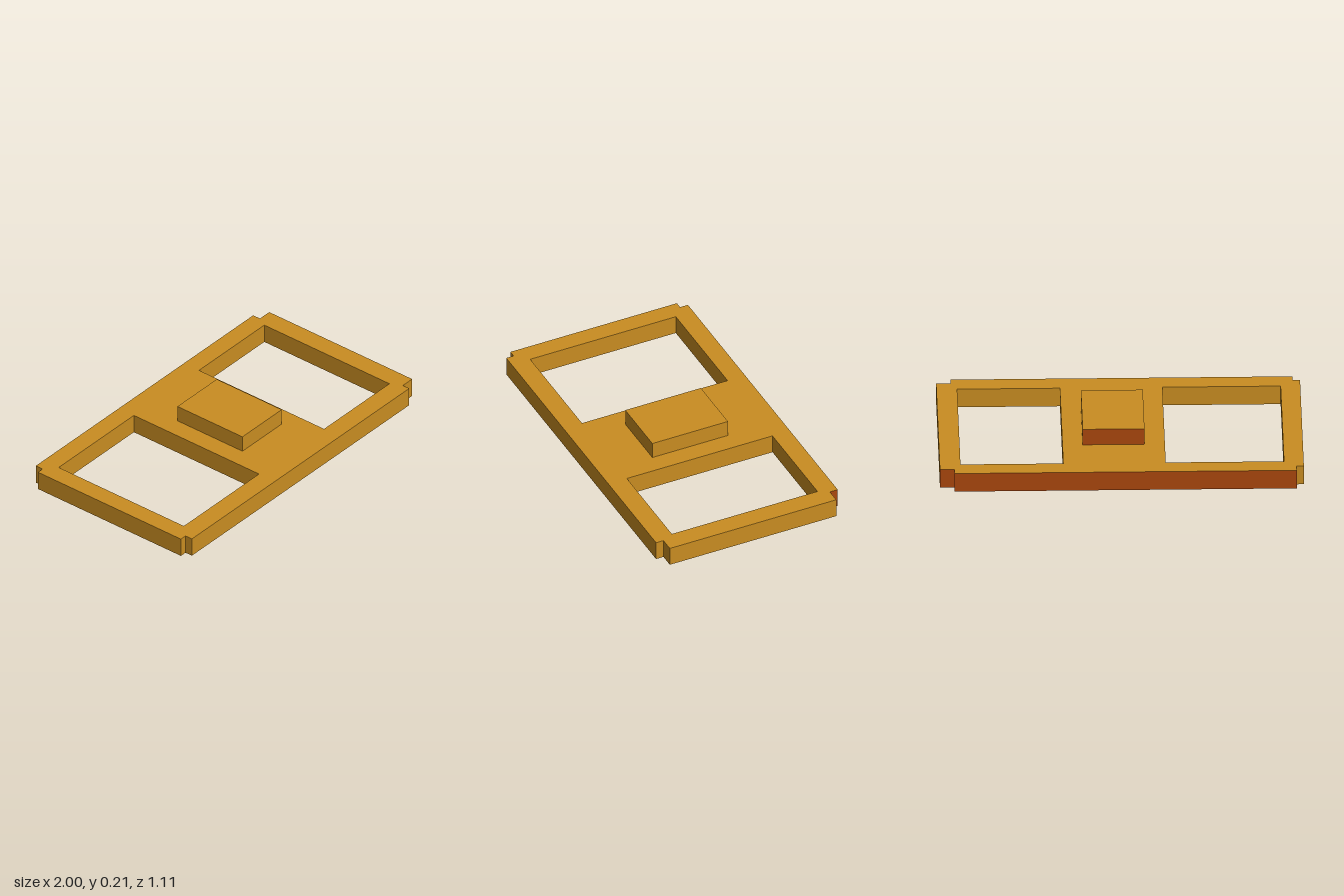
import * as THREE from 'three';

const gold = new THREE.MeshStandardMaterial({ color: 0xc98d22 });
gold.name = 'gold';
const rust = new THREE.MeshStandardMaterial({ color: 0xaa470e });
rust.name = 'rust';

// Rectangle in plan (x to the right, shape y = -z)
function rectPath(x0, x1, z0, z1) {
  return new THREE.Path([[x0, -z1], [x0, -z0], [x1, -z0], [x1, -z1]].map(([x, y]) => new THREE.Vector2(x, y)));
}

// Mesh whose triangles are gold, or rust where isRust(normal, centre) holds
function paintedMesh(name, source, isRust) {
  const geometry = source.index ? source.toNonIndexed() : source;
  const p = geometry.attributes.position;
  const tri = new THREE.Triangle(), normal = new THREE.Vector3(), centre = new THREE.Vector3();
  geometry.clearGroups();
  for (let i = 0; i < p.count; i += 3) {
    tri.setFromAttributeAndIndices(p, i, i + 1, i + 2);
    tri.getNormal(normal);
    tri.getMidpoint(centre);
    geometry.addGroup(i, 3, isRust(normal, centre) ? 1 : 0);
  }
  const mesh = new THREE.Mesh(geometry, [gold, rust]);
  mesh.name = name;
  return mesh;
}

export function createModel() {
  const model = new THREE.Group();
  model.name = 'framePlate';
  const height = 0.112;

  // Frame outline with a notch in each corner
  const outline = [
    [-0.96, 0.555], [0.92, 0.555], [0.92, 0.51], [1, 0.51],
    [1, -0.507], [0.92, -0.507], [0.92, -0.555], [-0.96, -0.555],
    [-0.96, -0.507], [-1, -0.507], [-1, 0.51], [-0.96, 0.51],
  ];
  const shape = new THREE.Shape(outline.map(([x, z]) => new THREE.Vector2(x, -z)));

  // Two window openings
  shape.holes.push(rectPath(-0.892, -0.242, -0.448, 0.442), rectPath(0.321, 0.886, -0.448, 0.442));
  const frame = new THREE.ExtrudeGeometry(shape, { depth: height, bevelEnabled: false });
  frame.rotateX(-Math.PI / 2);

  // Rust on the back edge and the back notch on the +x side
  model.add(paintedMesh('frame', frame, (n, c) =>
    c.z < -0.5 && c.x > -0.95 && (n.z < -0.9 || (n.x > 0.9 && c.x < 0.95))));

  // Raised block on the centre panel, rust on its back
  const block = new THREE.BoxGeometry(0.34, 0.096, 0.462);
  block.translate(0.04, height + 0.048, 0.001);
  model.add(paintedMesh('raisedBlock', block, (n) => n.z < -0.9));

  return model;
}
